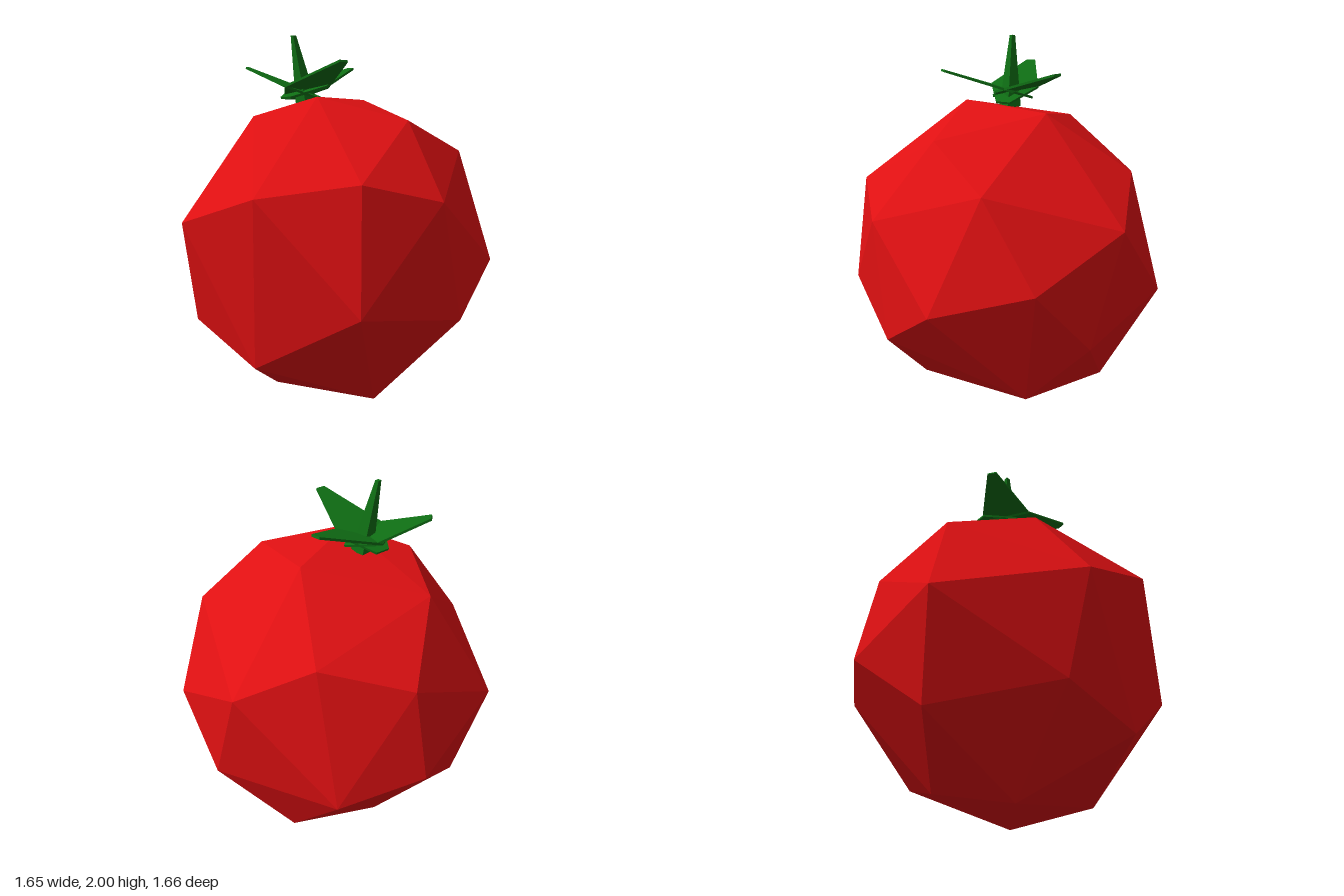
import * as THREE from 'three';
import { ConvexGeometry } from 'three/addons/geometries/ConvexGeometry.js';

const red = new THREE.MeshStandardMaterial({ color: 0xe01012, flatShading: true });
const green = new THREE.MeshStandardMaterial({ color: 0x0f6e14, flatShading: true, side: THREE.DoubleSide });

// Corners of the irregular faceted fruit, from the top down
const corners = [
  [0.12, 1.67, 0.21], [-0.04, 1.66, -0.29], [-0.16, 1.57, 0.41], [0.49, 1.55, -0.08], [-0.53, 1.53, 0.11],
  [0.49, 1.38, -0.51], [-0.40, 1.36, -0.55], [0.65, 1.27, 0.41], [-0.73, 1.23, -0.22], [0.29, 1.20, 0.75],
  [-0.11, 1.18, -0.82], [0.80, 1.17, 0.01], [-0.21, 1.04, 0.83], [0.38, 0.96, -0.78], [-0.79, 0.94, 0.36],
  [0.76, 0.82, -0.45], [-0.83, 0.74, -0.22], [0.72, 0.67, 0.48], [-0.60, 0.66, -0.62], [0.08, 0.61, -0.83],
  [0.82, 0.57, -0.12], [-0.27, 0.50, 0.72], [-0.70, 0.41, 0.22], [0.20, 0.35, 0.69], [0.28, 0.26, -0.58],
  [-0.23, 0.23, -0.58], [0.48, 0.12, 0.14], [-0.41, 0.11, -0.10], [-0.18, 0.04, 0.26], [0.12, 0.00, -0.13],
];

// Thin kite-shaped leaf, raised by tilt and turned about the stem
function leaf(name, length, tilt, turn) {
  const outline = [
    [-0.12, -0.04], [0.06, -0.14], [length, -0.025],
    [length, 0.025], [0.06, 0.14], [-0.12, 0.04],
  ].map(([x, y]) => new THREE.Vector2(x, y));
  const geo = new THREE.ExtrudeGeometry(new THREE.Shape(outline), { depth: 0.012, bevelEnabled: false });
  geo.rotateX(-Math.PI / 2);
  geo.rotateZ(THREE.MathUtils.degToRad(tilt));
  geo.rotateY(THREE.MathUtils.degToRad(turn));
  const mesh = new THREE.Mesh(geo, green);
  mesh.name = name;
  mesh.position.set(-0.11, 1.7, 0.12);
  return mesh;
}

export function createModel() {
  const model = new THREE.Group();
  model.name = 'tomato';

  const fruit = new THREE.Mesh(new ConvexGeometry(corners.map((c) => new THREE.Vector3(...c))), red);
  fruit.name = 'fruit';
  model.add(fruit);

  // Leaves around the stem
  const crown = new THREE.Group();
  crown.name = 'leafCrown';
  crown.add(
    leaf('backLeaf', 0.41, 19, 92),
    leaf('leftLeaf', 0.42, 19, -8),
    leaf('rightLeaf', 0.34, 22, -147),
  );
  model.add(crown);

  // Four-sided stem tapering to a leaning tip
  const stemGeo = new THREE.CylinderGeometry(0.015, 0.06, 0.37, 4, 1);
  stemGeo.rotateY(Math.PI / 4);
  const p = stemGeo.attributes.position;
  for (let i = 0; i < p.count; i++) {
    const t = p.getY(i) / 0.37 + 0.5;
    p.setX(i, p.getX(i) - 0.05 * t);
    p.setZ(i, p.getZ(i) + 0.05 * t);
  }
  stemGeo.computeVertexNormals();
  const stem = new THREE.Mesh(stemGeo, green);
  stem.name = 'stem';
  stem.position.set(-0.09, 1.815, 0.1);
  model.add(stem);

  return model;
}
